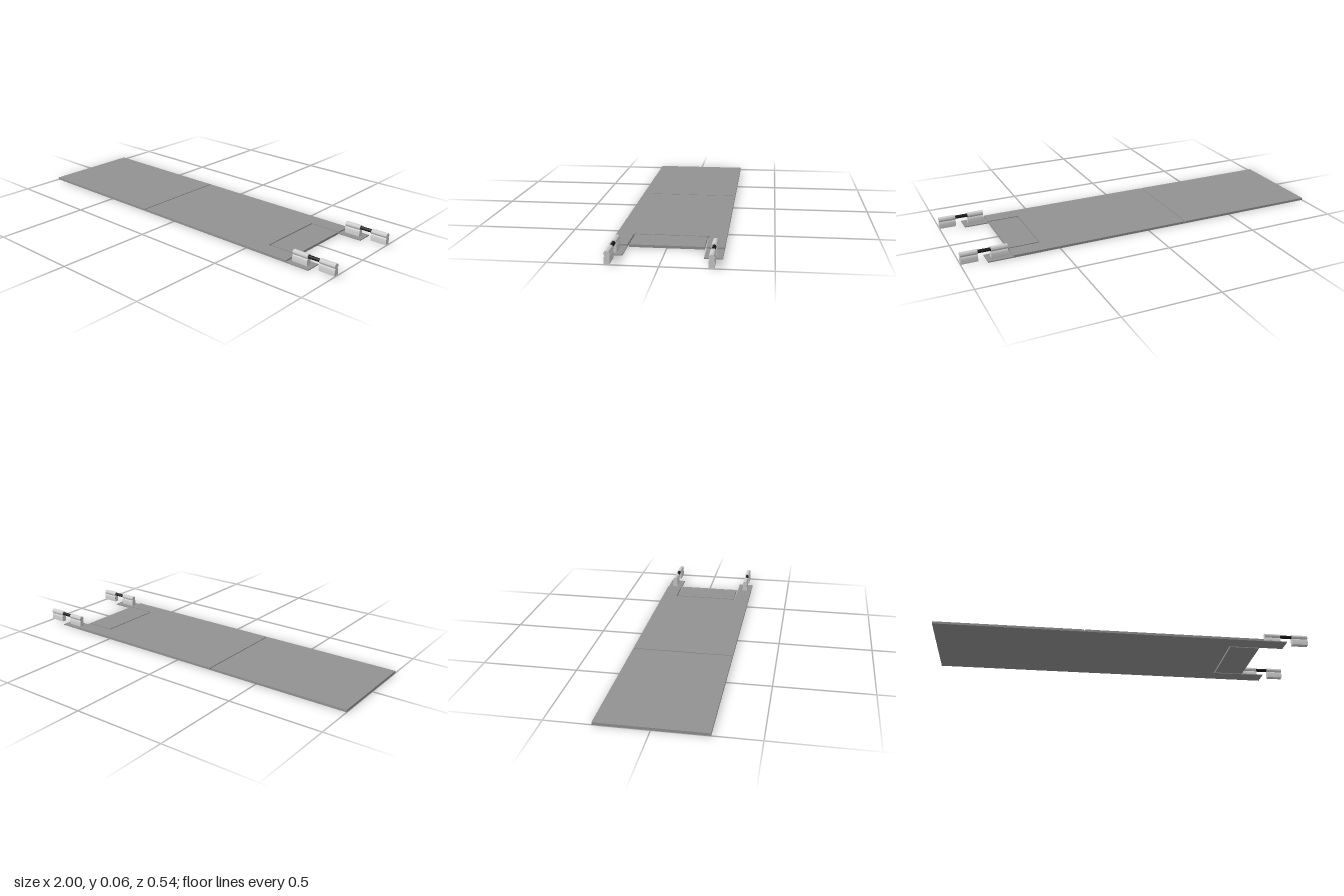
import * as THREE from 'three';
import { toCreasedNormals } from 'three/addons/utils/BufferGeometryUtils.js';

const BASE = 0.005, TOP = 0.0125; // height of the thin base sheet and of the board
const HALF = 0.27, SLOT = 0.185;  // half width of the board and of the flap cut-out
const SEAM = -0.22, END = 0.745, TAB = 0.873, CUT = 0.577;

// Flat plate from an (x, z) outline, between two heights
function plate(points, y0, y1) {
  const shape = new THREE.Shape(points.map(([x, z]) => new THREE.Vector2(x, -z)));
  const geo = new THREE.ExtrudeGeometry(shape, { depth: y1 - y0, bevelEnabled: false });
  return geo.rotateX(-Math.PI / 2).translate(0, y0, 0);
}

const rect = (x0, x1, h) => [[x0, -h], [x1, -h], [x1, h], [x0, h]];

// Board outline with the rectangular cut-out at its right end
const forked = (x0, x1) => [
  [x0, -HALF], [x1, -HALF], [x1, -SLOT], [CUT, -SLOT],
  [CUT, SLOT], [x1, SLOT], [x1, HALF], [x0, HALF],
];

// Clip section: upright body, small waist, round head; extruded along x
function clipBlock(x0, x1) {
  const r = 0.0135, cy = 0.0505, a = 0.95;
  const s = new THREE.Shape();
  s.moveTo(-r, 0.004);
  s.lineTo(r, 0.004);
  s.lineTo(r, 0.031);
  s.quadraticCurveTo(r, 0.036, r * Math.cos(a), cy - r * Math.sin(a));
  s.absarc(0, cy, r, -a, Math.PI + a, false);
  s.quadraticCurveTo(-r, 0.036, -r, 0.031);
  s.closePath();
  const geo = new THREE.ExtrudeGeometry(s, { depth: x1 - x0, bevelEnabled: false, curveSegments: 20 });
  return toCreasedNormals(geo.rotateY(Math.PI / 2).translate(x0, 0, 0), 0.5);
}

export function createModel() {
  const model = new THREE.Group();
  model.name = 'hingedBoard';
  const boardMat = new THREE.MeshStandardMaterial({ color: 0x929292 });
  const clipMat = new THREE.MeshStandardMaterial({ color: 0xcccccc });
  const rodMat = new THREE.MeshStandardMaterial({ color: 0x1a1a1a });

  const add = (parent, name, geo, mat) => {
    const mesh = new THREE.Mesh(geo, mat);
    mesh.name = name;
    parent.add(mesh);
    return mesh;
  };

  // Board: continuous base with two tabs, two upper panels split by a seam, loose flap
  add(model, 'baseSheet', plate(forked(-1, TAB), 0, BASE), boardMat);
  add(model, 'rearPanel', plate(rect(-1, SEAM - 0.003, HALF), BASE, TOP), boardMat);
  add(model, 'forkedPanel', plate(forked(SEAM + 0.003, END), BASE, TOP), boardMat);
  add(model, 'flap', plate(rect(CUT + 0.007, END, SLOT - 0.008), 0, TOP), boardMat);

  // A pair of clip blocks joined by a dark rod above each tab
  for (const side of [1, -1]) {
    const clip = new THREE.Group();
    clip.name = side > 0 ? 'frontClip' : 'backClip';
    clip.position.z = side * 0.229;
    add(clip, 'innerBlock', clipBlock(0.762, 0.847), clipMat);
    add(clip, 'outerBlock', clipBlock(0.913, 1), clipMat);
    const rod = add(clip, 'rod', new THREE.CylinderGeometry(0.009, 0.009, 0.1, 20), rodMat);
    rod.rotation.z = Math.PI / 2;
    rod.position.set(0.88, 0.0505, 0);
    model.add(clip);
  }
  return model;
}
